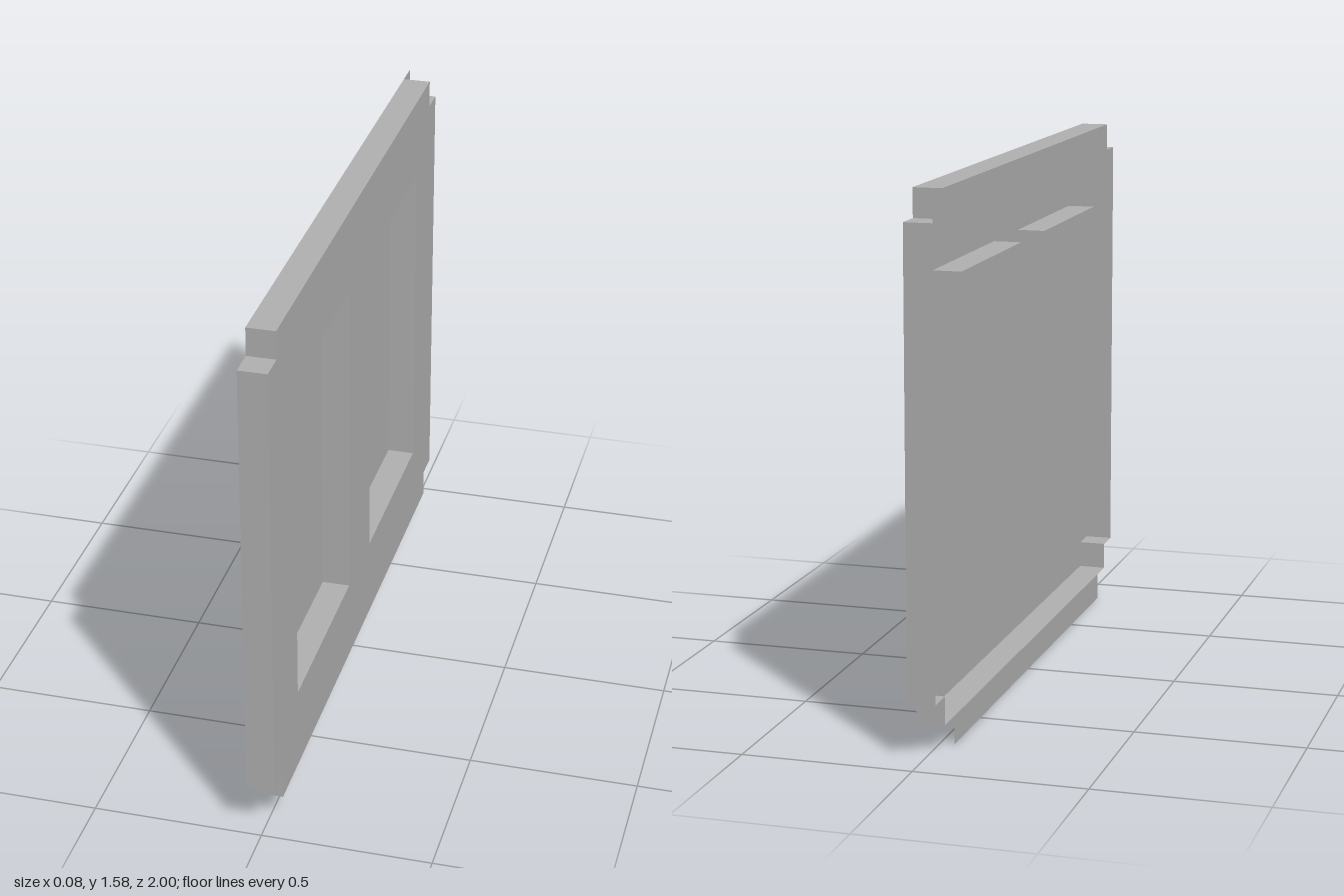
import * as THREE from 'three';

const U = 1 / 12;        // module of the panel layout
const HALF = 0.5 * U;    // half of the panel depth

const rect = (u0, v0, u1, v1) => [[u0, v0], [u1, v0], [u1, v1], [u0, v1]];
const toPoints = (loop) => loop.map(([u, v]) => new THREE.Vector2(u * U, v * U));

// Flat sheet with optional cut-outs at a given depth
function sheet(loop, depth, holes = []) {
  const shape = new THREE.Shape(toPoints(loop));
  holes.forEach((h) => shape.holes.push(new THREE.Path(toPoints(h))));
  return new THREE.ShapeGeometry(shape).translate(0, 0, depth);
}

// Folded wall running round a closed loop, from back to front
function wall(loop) {
  const pos = [];
  const pts = toPoints(loop);
  pts.forEach((a, i) => {
    const b = pts[(i + 1) % pts.length];
    pos.push(
      a.x, a.y, -HALF, b.x, b.y, -HALF, b.x, b.y, HALF,
      a.x, a.y, -HALF, b.x, b.y, HALF, a.x, a.y, HALF
    );
  });
  const geo = new THREE.BufferGeometry();
  geo.setAttribute('position', new THREE.Float32BufferAttribute(pos, 3));
  geo.computeVertexNormals();
  return geo;
}

export function createModel() {
  const model = new THREE.Group();
  model.name = 'doorPanel';
  const grey = new THREE.MeshStandardMaterial({ color: 0xb2b2b2, side: THREE.DoubleSide });
  grey.name = 'plain grey';

  // Parts are laid out flat, then the panel is turned to face +x
  const panel = new THREE.Group();
  panel.name = 'panel';
  panel.rotation.y = Math.PI / 2;
  model.add(panel);
  const add = (name, geometry) => {
    const mesh = new THREE.Mesh(geometry, grey);
    mesh.name = name;
    panel.add(mesh);
  };

  // Notched outline and the two recesses
  const outline = [
    [-11, 1], [10, 1], [10, 2], [11, 2], [11, 18], [10, 18],
    [10, 19], [-11, 19], [-11, 18], [-12, 18], [-12, 2], [-11, 2],
  ];
  const recesses = [rect(-9, 4, -2, 16), rect(1, 4, 8, 16)];

  add('faceSheet', sheet(outline, HALF, recesses));
  add('edgeFlange', wall(outline));
  recesses.forEach((r, i) => {
    add(`recessWall${i + 1}`, wall([...r].reverse()));
    add(`recessFloor${i + 1}`, sheet(r, -HALF));
  });

  // Thin tabs along the rear plane
  [3, 8, 13].forEach((v, i) => add(`sideTab${i + 1}`, sheet(rect(11, v, 12, v + 3), -HALF)));
  add('bottomTab', sheet(rect(-10, 0, 9, 1), -HALF));
  add('cornerFlap', sheet(rect(10, 18, 11, 19), -HALF));

  return model;
}
